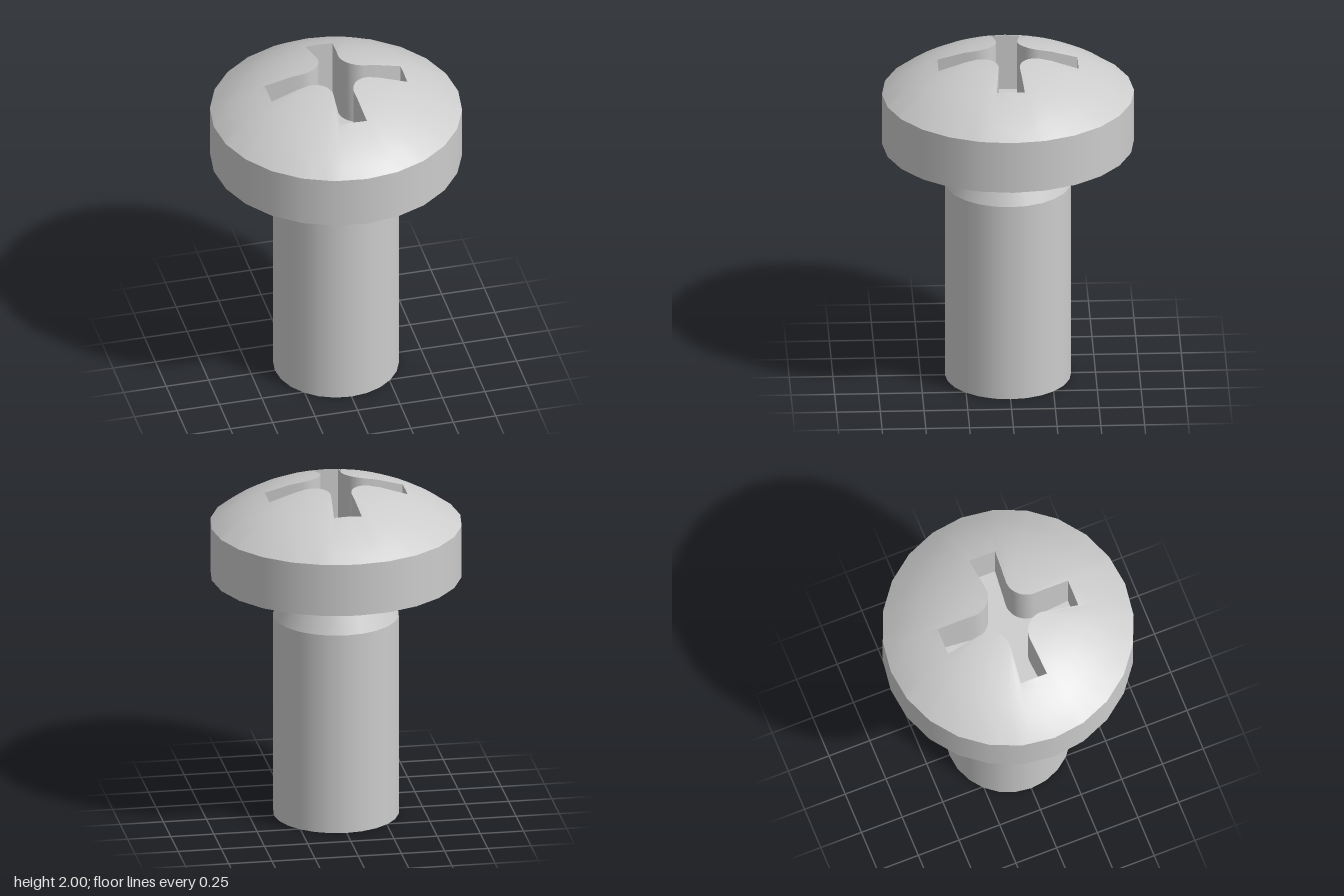
import * as THREE from 'three';
import { toCreasedNormals, mergeGeometries } from 'three/addons/utils/BufferGeometryUtils.js';

const SIDES = 24;
const RIM = 0.72, RIM_Y = 1.76;      // edge of the dome
const APEX = 2.007, BALL = 1.173;    // sphere the dome is cut from
const FLOOR_Y = 1.6;                 // bottom of the cross recess
const rad = THREE.MathUtils.degToRad;

// Angles that catch every corner of the cross and of the 24-sided rim
const QUARTER = [0, 11.31, 15, 18.43, 21, 25, 30, 37.5, 45, 52.5, 60, 65, 69, 71.57, 75, 78.69];
const ANGLES = [0, 90, 180, 270].flatMap(q => QUARTER.map(a => rad(q + a)));

// Distance from the axis to the cross outline: arm end, flared arm side, inner fillet
function crossRadius(angle) {
  let a = angle % (Math.PI / 2);
  if (a > Math.PI / 4) a = Math.PI / 2 - a;
  if (a <= rad(11.311)) return 0.4 / Math.cos(a);
  if (a <= rad(18.43)) return 0.0436 / (Math.sin(a) - 0.0909 * Math.cos(a));
  const d = 0.18 * Math.SQRT2, off = Math.PI / 4 - a;
  return d * Math.cos(off) - Math.sqrt(Math.max(0, 0.0144 - (d * Math.sin(off)) ** 2));
}

// Distance from the axis to the straight-sided rim
function rimRadius(angle) {
  const step = (2 * Math.PI) / SIDES;
  return RIM * Math.cos(step / 2) / Math.cos((angle + 1e-9) % step - step / 2);
}

const domeY = r => APEX - BALL + Math.sqrt(BALL * BALL - r * r);

// Surface through closed rings, listed from inner to outer; each ring maps angle to [radius, y]
function ringSurface(rings) {
  const n = ANGLES.length, positions = [], index = [];
  for (const ring of rings) {
    for (const a of ANGLES) {
      const [r, y] = ring(a);
      positions.push(r * Math.cos(a), y, r * Math.sin(a));
    }
  }
  for (let k = 0; k < rings.length - 1; k++) {
    for (let i = 0; i < n; i++) {
      const a = k * n + i, b = k * n + (i + 1) % n;
      index.push(a, b, a + n, b, b + n, a + n);
    }
  }
  const g = new THREE.BufferGeometry();
  g.setAttribute('position', new THREE.Float32BufferAttribute(positions, 3));
  g.setIndex(index);
  g.computeVertexNormals();
  return g;
}

// Turned part: smooth around the axis, sharp at each profile corner
function turned(profile) {
  const bands = [];
  for (let i = 0; i < profile.length - 1; i++) {
    const pair = [profile[i], profile[i + 1]].map(p => new THREE.Vector2(...p));
    bands.push(new THREE.LatheGeometry(pair, SIDES));
  }
  return mergeGeometries(bands);
}

export function createModel() {
  const group = new THREE.Group();
  const steel = new THREE.MeshStandardMaterial({ color: 0xcccccc });
  steel.name = 'steel';
  const add = (name, geometry) => {
    const mesh = new THREE.Mesh(geometry, steel);
    mesh.name = name;
    group.add(mesh);
  };

  // Shaft with a narrowed neck flaring into the head
  add('shaft', turned([[0, 0], [0.36, 0], [0.36, 1.2], [0.31, 1.32]]));
  add('neckFlare', turned([[0.31, 1.32], [0.42, 1.45]]));

  // Underside and side wall of the head
  add('headSide', turned([[0.42, 1.45], [RIM, 1.45], [RIM, RIM_Y]]));

  // Dome, open at the cross
  const steps = 6;
  const domeRings = Array.from({ length: steps + 1 }, (_, k) => a => {
    const r = THREE.MathUtils.lerp(crossRadius(a), rimRadius(a), k / steps);
    return [r, k === steps ? RIM_Y : domeY(r)];
  });
  add('headDome', ringSurface(domeRings));

  // Cross recess
  const floorEdge = a => [crossRadius(a), FLOOR_Y];
  const topEdge = a => [crossRadius(a), domeY(crossRadius(a))];
  add('recessWalls', toCreasedNormals(ringSurface([floorEdge, topEdge]), 0.6));
  add('recessFloor', ringSurface([() => [0, FLOOR_Y], floorEdge]));

  return group;
}
